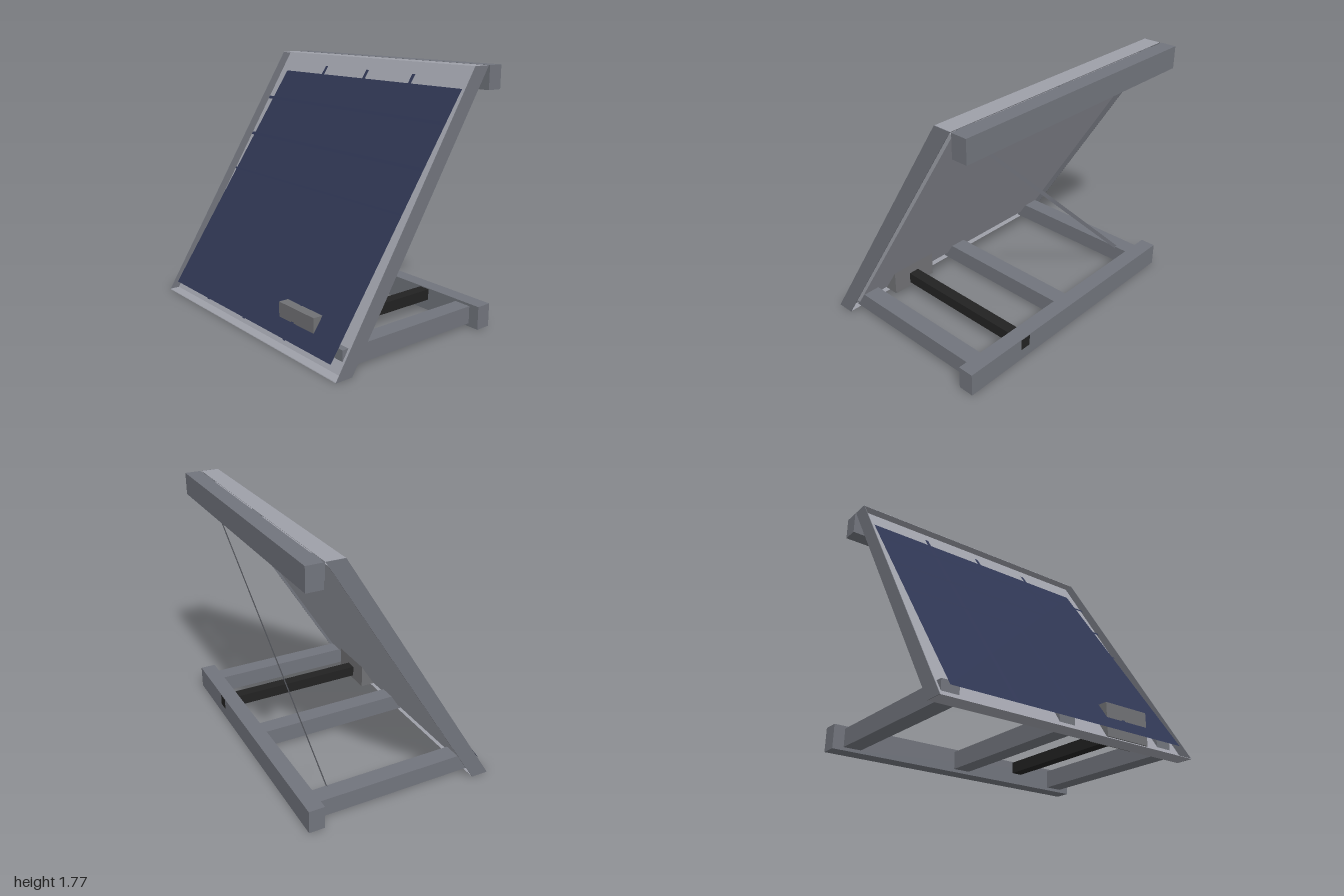
import * as THREE from 'three';

export function createModel() {
  const root = new THREE.Group();
  root.name = 'tiltedPanelStand';
  const mat = (name, color, side = THREE.FrontSide) => {
    const m = new THREE.MeshStandardMaterial({ color, side });
    m.name = name;
    return m;
  };
  const aluminium = mat('aluminium', 0x9d9fa8);
  const steel = mat('steelGrey', 0x71747c, THREE.DoubleSide);
  const housing = mat('housingGrey', 0x707174);
  const navy = mat('navyPanel', 0x2f3653, THREE.DoubleSide);
  const black = mat('blackTube', 0x222222);

  // Adds a part; lean slides z back as y rises
  function add(name, g, material, lean) {
    g.applyMatrix4(new THREE.Matrix4().set(1, 0, 0, 0, 0, 1, 0, 0, 0, -lean, 1, 0, 0, 0, 0, 1));
    const m = new THREE.Mesh(g, material);
    m.name = name;
    root.add(m);
  }
  // Box from its limits
  function block(name, material, [x0, x1], [y0, y1], [z0, z1], lean = 0) {
    const g = new THREE.BoxGeometry(x1 - x0, y1 - y0, z1 - z0);
    g.translate((x0 + x1) / 2, (y0 + y1) / 2, (z0 + z1) / 2);
    add(name, g, material, lean);
  }
  // Flat sheet facing forward
  function sheet(name, material, [x0, x1], [y0, y1], z, lean) {
    const g = new THREE.PlaneGeometry(x1 - x0, y1 - y0);
    g.translate((x0 + x1) / 2, (y0 + y1) / 2, z);
    add(name, g, material, lean);
  }

  // Leaning tray: thin rim around a recessed sheet with a backing board
  const LEAN = 0.625, H = 1.775, T = 0.004, IN = 1 - T;
  block('trayFloor', aluminium, [-IN, IN], [T, H - T], [0.604, 0.61], LEAN);
  block('backingBoard', aluminium, [-0.93, 0.93], [0.06, 1.715], [0.57, 0.606], LEAN);
  block('trayBottom', aluminium, [-IN, IN], [0, T], [0.555, 0.679], LEAN);
  block('trayTop', aluminium, [-IN, IN], [H - T, H], [0.555, 0.679], LEAN);
  block('traySideRight', steel, [-1, -IN], [0, H], [0.555, 0.679], LEAN);
  block('traySideLeft', steel, [IN, 1], [0, H], [0.555, 0.679], LEAN);

  // Navy panel, tilted a little more than the tray, with three ribs
  const TILT = 0.683, FACE = 0.7095;
  sheet('panel', navy, [-0.92, 0.92], [0.08, 1.63], FACE, TILT);
  for (const x of [-0.46, 0, 0.46]) {
    sheet('panelRib', navy, [x - 0.014, x + 0.014], [0.078, 1.69], FACE + 0.005, TILT);
  }
  // Crossbars parallel to the tray, standing further out towards the top
  for (const [y0, y1] of [[0.895, 0.907], [1.15, 1.17], [1.42, 1.44]]) {
    sheet('panelCrossbar', navy, [-0.92, 0.92], [y0, y1], 0.67, LEAN);
  }

  // Rear rails
  block('topRail', steel, [-1, 1], [1.618, H], [-0.676, -0.565]);
  block('bottomRail', steel, [-1, 1], [0, 0.163], [-0.676, -0.565]);

  // Floor beams and the short spacers behind the tray top
  for (const x of [-0.86, 0, 0.86]) {
    block('floorBeam', steel, [x - 0.062, x + 0.062], [0.022, 0.146], [-0.566, 0.565]);
    block('topSpacer', steel, [x - 0.062, x + 0.062], [1.633, 1.757], [-0.566, -0.52]);
  }

  // Control box and the tube running through the bottom rail
  block('controlBox', housing, [0.317, 0.677], [0.05, 0.277], [0.43, 0.59]);
  block('tube', black, [0.46, 0.54], [0.078, 0.157], [-0.677, 0.44]);

  // Flat diagonal brace, from the upper left spacer to the right floor beam
  const strap = new THREE.ShapeGeometry(new THREE.Shape([
    new THREE.Vector2(-0.872, 0.096), new THREE.Vector2(-0.854, 0.078),
    new THREE.Vector2(0.872, 1.682), new THREE.Vector2(0.854, 1.7),
  ]));
  strap.translate(0, 0, -0.445);
  add('diagonalBrace', strap, steel, 0.068);

  return root;
}
